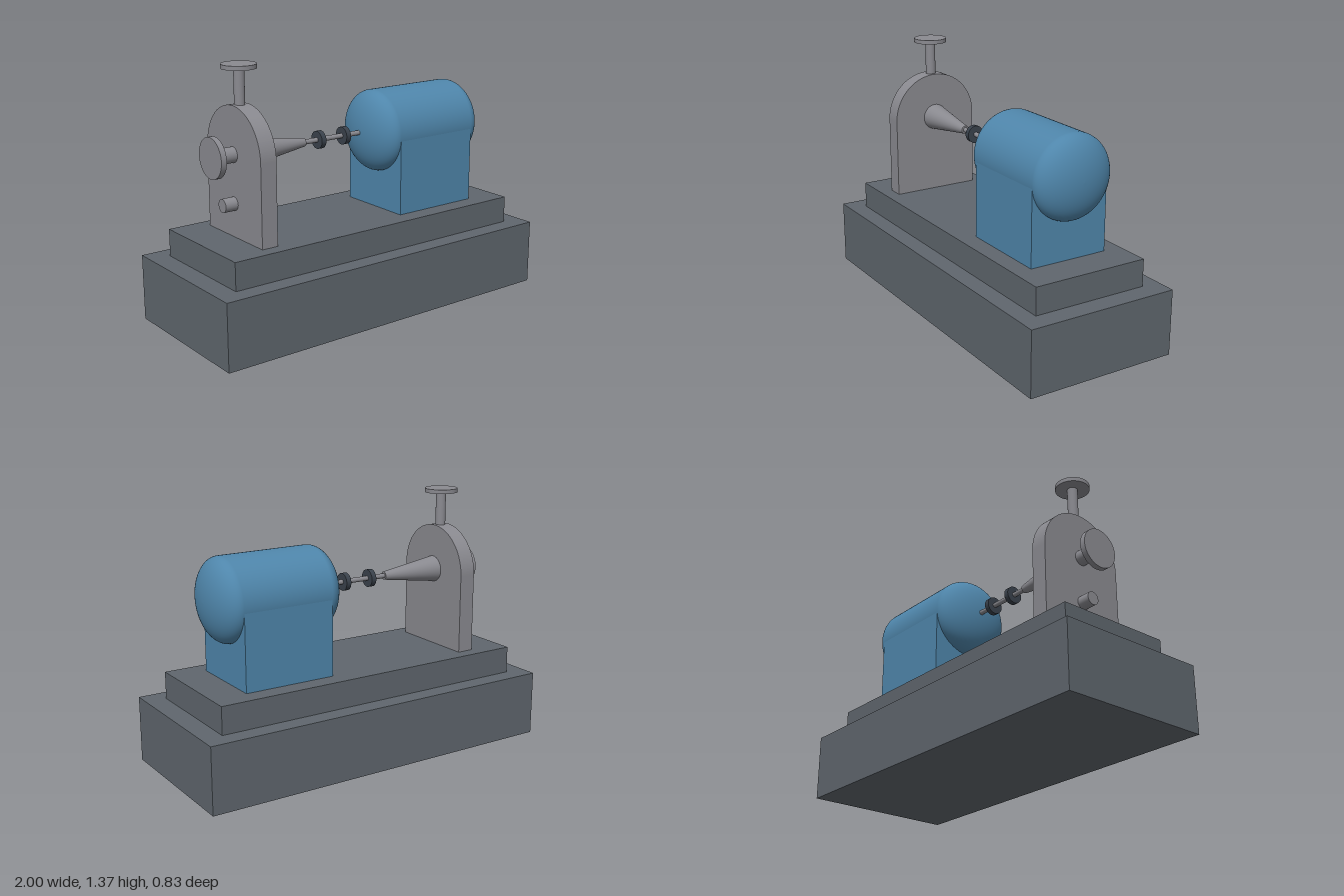
import * as THREE from 'three';

const paint = (color) => new THREE.MeshStandardMaterial({ color });

export function createModel() {
  const model = new THREE.Group();
  const baseMat = paint(0x5f666d);
  const blueMat = paint(0x4f86ab);
  const metalMat = paint(0x8a8a90);
  const darkMat = paint(0x3a424c);
  const axisY = 0.92;   // height of the shaft axis
  const standX = -0.645;

  const add = (name, geometry, material) => {
    const mesh = new THREE.Mesh(geometry, material);
    mesh.name = name;
    model.add(mesh);
    return mesh;
  };
  // Box from x0..x1, y0..y1, centred on z
  const box = (name, x0, x1, y0, y1, depth, material) =>
    add(name, new THREE.BoxGeometry(x1 - x0, y1 - y0, depth), material)
      .position.set((x0 + x1) / 2, (y0 + y1) / 2, 0);
  // Round bar along x, radius r0 at x0 and r1 at x1
  const barX = (name, x0, x1, r0, r1, material, y = axisY) => {
    const g = new THREE.CylinderGeometry(r1, r0, x1 - x0, 48).rotateZ(-Math.PI / 2);
    add(name, g, material).position.set((x0 + x1) / 2, y, 0);
  };
  // Upright round bar
  const barY = (name, y0, y1, r, material) =>
    add(name, new THREE.CylinderGeometry(r, r, y1 - y0, 48), material)
      .position.set(standX, (y0 + y1) / 2, 0);

  // Stepped plinth
  box('plinth', -1, 1, 0, 0.35, 0.83, baseMat);
  box('bedPlate', -0.89, 0.89, 0.35, 0.495, 0.634, baseMat);

  // Motor: pedestal and a barrel with domed ends, turned around x
  box('motorPedestal', 0.203, 0.703, 0.495, axisY, 0.437, blueMat);
  const profile = [];
  const R = 0.22, dome = 0.113, half = 0.25, steps = 16;
  for (const end of [-1, 1]) {
    for (let i = 0; i <= steps; i++) {
      const a = (end < 0 ? i : steps - i) / steps * Math.PI / 2;
      profile.push(new THREE.Vector2(R * Math.sin(a), end * (half + dome * Math.cos(a))));
    }
  }
  const barrel = new THREE.LatheGeometry(profile, 64).rotateZ(-Math.PI / 2);
  add('motorBarrel', barrel, blueMat).position.set(0.453, axisY, 0);

  // Arched bearing stand, extruded along x
  const w = 0.245, thick = 0.09;
  const arch = new THREE.Shape();
  arch.moveTo(-w, 0.495);
  arch.lineTo(w, 0.495);
  arch.lineTo(w, axisY);
  arch.absarc(0, axisY, w, 0, Math.PI, false);
  arch.closePath();
  const stand = new THREE.ExtrudeGeometry(arch, { depth: thick, bevelEnabled: false, curveSegments: 48 })
    .translate(0, 0, -thick / 2).rotateY(Math.PI / 2);
  add('bearingStand', stand, metalMat).position.x = standX;

  // Top knob
  barY('topStem', 1.15, 1.345, 0.027, metalMat);
  barY('topKnob', 1.343, 1.365, 0.089, metalMat);

  // Handwheel and stud on the outer face
  barX('handwheelStem', -0.8, -0.68, 0.04, 0.04, metalMat);
  barX('handwheel', -0.82, -0.79, 0.105, 0.105, metalMat);
  barX('stud', -0.76, -0.68, 0.035, 0.035, metalMat, 0.67);

  // Tapered nose, shaft and collars
  barX('taperedNose', -0.602, -0.265, 0.071, 0.022, metalMat);
  barX('shaft', -0.28, 0.12, 0.013, 0.013, metalMat);
  for (const x of [-0.17, -0.01]) barX('collar', x - 0.014, x + 0.014, 0.047, 0.047, darkMat);

  return model;
}
